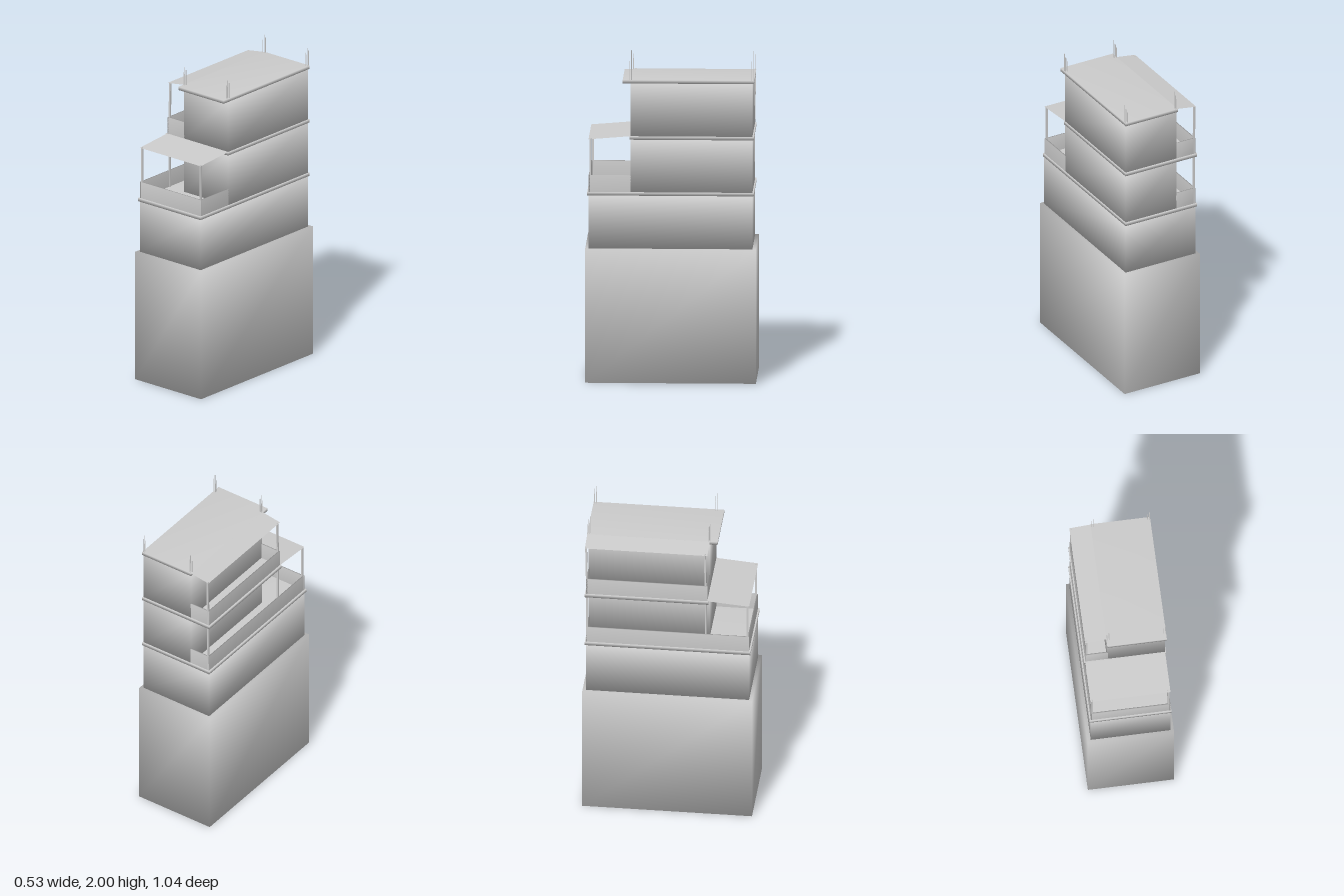
import * as THREE from 'three';
import { mergeVertices } from 'three/addons/utils/BufferGeometryUtils.js';

const material = new THREE.MeshStandardMaterial({ color: 0xcccccc });
const thinMaterial = new THREE.MeshStandardMaterial({ color: 0xcccccc, side: THREE.DoubleSide });

// Share corner vertices so the shading runs softly around the edges
function soften(geometry) {
  geometry.deleteAttribute('normal');
  geometry.deleteAttribute('uv');
  const merged = mergeVertices(geometry, 1e-5);
  merged.computeVertexNormals();
  return merged;
}

// Box given by its extents on each axis
function block(name, [x0, x1], [y0, y1], [z0, z1]) {
  const geometry = new THREE.BoxGeometry(x1 - x0, y1 - y0, z1 - z0);
  geometry.translate((x0 + x1) / 2, (y0 + y1) / 2, (z0 + z1) / 2);
  const mesh = new THREE.Mesh(soften(geometry), material);
  mesh.name = name;
  return mesh;
}

// Thin square bar between two points
function bar(name, from, to, width) {
  const a = new THREE.Vector3(...from), b = new THREE.Vector3(...to);
  const mesh = new THREE.Mesh(new THREE.BoxGeometry(width, a.distanceTo(b), width), material);
  mesh.position.copy(a).add(b).multiplyScalar(0.5);
  mesh.quaternion.setFromUnitVectors(new THREE.Vector3(0, 1, 0), b.clone().sub(a).normalize());
  mesh.name = name;
  return mesh;
}

// Balcony wall following a run of [x, z] corners
function parapet(name, corners, y0, y1) {
  const group = new THREE.Group();
  group.name = name;
  const t = 0.004;
  for (let i = 0; i < corners.length - 1; i++) {
    const [ax, az] = corners[i], [bx, bz] = corners[i + 1];
    group.add(block('parapetWall',
      [Math.min(ax, bx) - t, Math.max(ax, bx) + t], [y0, y1],
      [Math.min(az, bz) - t, Math.max(az, bz) + t]));
  }
  return group;
}

// Thin sloping sheet from four corners, counterclockwise from above
function canopy(name, corners) {
  const geometry = new THREE.BufferGeometry();
  geometry.setAttribute('position', new THREE.Float32BufferAttribute(corners.flat(), 3));
  geometry.setIndex([0, 1, 2, 0, 2, 3]);
  geometry.computeVertexNormals();
  const mesh = new THREE.Mesh(geometry, thinMaterial);
  mesh.name = name;
  return mesh;
}

export function createModel() {
  const model = new THREE.Group();
  model.name = 'townhouse';

  // Stacked storeys, the upper two set back from the front and left
  model.add(
    block('base', [-0.267, 0.265], [0, 0.832], [-0.522, 0.522]),
    block('firstStorey', [-0.247, 0.245], [0.832, 1.165], [-0.5, 0.502]),
    block('secondStorey', [-0.112, 0.245], [1.18, 1.515], [-0.5, 0.245]),
    block('thirdStorey', [-0.112, 0.245], [1.53, 1.865], [-0.5, 0.245]),
  );

  // Projecting floor slabs and roof
  model.add(
    block('terraceSlab', [-0.254, 0.25], [1.162, 1.183], [-0.508, 0.51]),
    block('balconySlab', [-0.254, 0.25], [1.51, 1.531], [-0.508, 0.252]),
    block('roofSlab', [-0.117, 0.25], [1.86, 1.881], [-0.51, 0.293]),
  );

  // Balcony walls
  model.add(
    parapet('terraceParapet',
      [[-0.112, -0.496], [-0.242, -0.496], [-0.242, 0.497], [0.241, 0.497], [0.241, 0.245]], 1.18, 1.288),
    parapet('balconyParapet',
      [[-0.112, -0.496], [-0.242, -0.496], [-0.242, 0.241], [-0.112, 0.241]], 1.53, 1.637),
  );

  // Sloping canopies over the terrace and the balcony
  model.add(
    canopy('terraceCanopy',
      [[-0.247, 1.51, 0.502], [0.245, 1.51, 0.502], [0.245, 1.531, 0.245], [-0.247, 1.531, 0.245]]),
    canopy('balconyCanopy',
      [[-0.247, 1.86, 0.245], [-0.112, 1.881, 0.245], [-0.112, 1.881, -0.508], [-0.247, 1.86, -0.508]]),
  );

  // Posts carrying the canopies and the balcony
  for (const [x, z] of [[-0.237, 0.491], [0.235, 0.491], [-0.237, 0.235], [-0.237, -0.495]]) {
    model.add(bar('terracePost', [x, 1.18, z], [x, 1.513, z], 0.011));
  }
  for (const z of [0.235, -0.495]) {
    model.add(bar('balconyPost', [-0.237, 1.53, z], [-0.237, 1.863, z - 0.006], 0.011));
  }

  // Starter bars left standing at the roof corners
  const heights = [0.12, 0.085, 0.1, 0.07];
  for (const cx of [-0.107, 0.24]) {
    for (const cz of [0.245, -0.498]) {
      heights.forEach((h, i) => {
        const x = cx + (i % 2 ? -0.006 : 0.006);
        const z = cz + (i < 2 ? 0.006 : -0.006);
        model.add(bar('starterBar', [x, 1.875, z], [x, 1.88 + h, z], 0.003));
      });
    }
  }
  return model;
}
